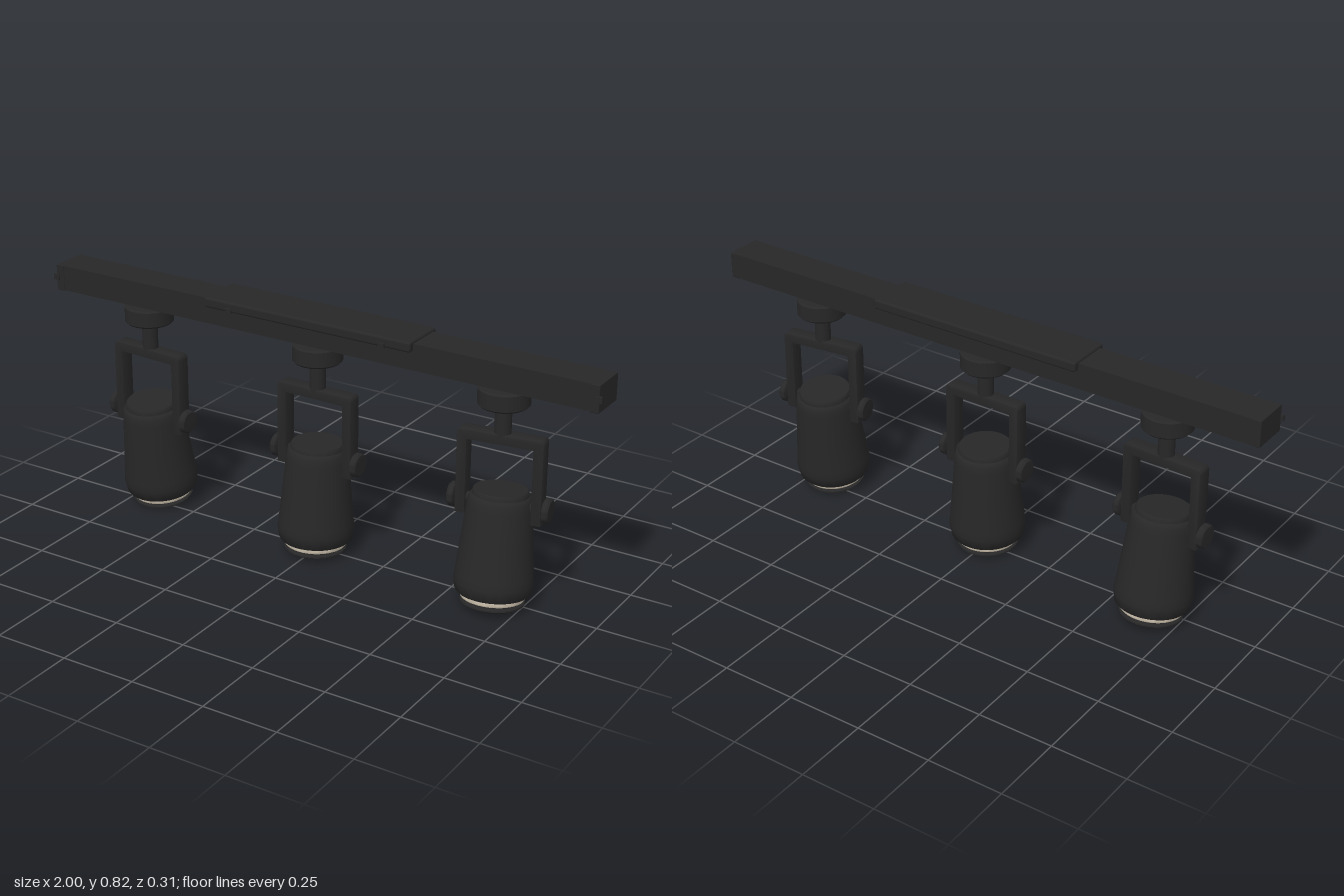
import * as THREE from 'three';
import { toCreasedNormals } from 'three/addons/utils/BufferGeometryUtils.js';
import { RoundedBoxGeometry } from 'three/addons/geometries/RoundedBoxGeometry.js';

const black = new THREE.MeshStandardMaterial({ name: 'black metal', color: 0x272727 });
const beige = new THREE.MeshStandardMaterial({ name: 'beige collar', color: 0xd0c4b0 });
const amber = new THREE.MeshStandardMaterial({ name: 'amber lens', color: 0xdcb68a });

function add(parent, name, geometry, material, x = 0, y = 0, z = 0) {
  const mesh = new THREE.Mesh(geometry, material);
  mesh.name = name;
  mesh.position.set(x, y, z);
  parent.add(mesh);
  return mesh;
}

// Turned part; the profile runs from the bottom up along the outside
function turned(points, segments = 48) {
  const lathe = new THREE.LatheGeometry(points.map(([r, y]) => new THREE.Vector2(r, y)), segments);
  return toCreasedNormals(lathe, 0.65);
}

// Ceiling rail with cover, contact strip and ends
function makeRail() {
  const rail = new THREE.Group();
  rail.name = 'rail';
  add(rail, 'railChannel', new THREE.BoxGeometry(1.95, 0.086, 0.122), black, 0, 0.773, 0.001);
  add(rail, 'contactStrip', new THREE.BoxGeometry(1.82, 0.012, 0.052), black, 0, 0.728, 0);
  add(rail, 'driverCover', new RoundedBoxGeometry(0.755, 0.034, 0.162, 3, 0.008), black, 0, 0.808, 0.001);
  for (const s of [-1, 1]) {
    add(rail, 'endCap', new RoundedBoxGeometry(0.03, 0.089, 0.125, 2, 0.003), black, s * 0.975, 0.7725, 0.002);
    add(rail, 'endTab', new THREE.BoxGeometry(0.022, 0.02, 0.008), black, s * 0.989, 0.773, 0.064);
    add(rail, 'coverClip', new THREE.BoxGeometry(0.02, 0.015, 0.01), black, s * 0.28, 0.798, 0.082);
  }
  return rail;
}

// U-shaped bracket with rounded upper corners
function yokeGeometry() {
  const w = 0.136, t = 0.028, top = 0.568, bottom = 0.293, r = 0.012;
  const s = new THREE.Shape();
  s.moveTo(-w, bottom);
  s.lineTo(-w + t, bottom);
  s.lineTo(-w + t, top - t);
  s.lineTo(w - t, top - t);
  s.lineTo(w - t, bottom);
  s.lineTo(w, bottom);
  s.lineTo(w, top - r);
  s.quadraticCurveTo(w, top, w - r, top);
  s.lineTo(-w + r, top);
  s.quadraticCurveTo(-w, top, -w, top - r);
  s.closePath();
  const geometry = new THREE.ExtrudeGeometry(s, {
    depth: 0.046, bevelThickness: 0.002, bevelSize: 0.002, bevelSegments: 2, curveSegments: 6,
  });
  geometry.translate(0, 0, -0.023);
  return toCreasedNormals(geometry, 0.6);
}

const yokeShape = yokeGeometry();
const mountShape = turned([
  [0, 0.662], [0.075, 0.662], [0.081, 0.668], [0.081, 0.717], [0.076, 0.722], [0.026, 0.722], [0.026, 0.735], [0, 0.735],
]);
const knobShape = turned([
  [0.016, 0.09], [0.016, 0.138], [0.03, 0.138], [0.039, 0.143], [0.039, 0.157], [0.034, 0.163], [0, 0.164],
], 32);
// Head profiles, measured from the tilt pivot
const bodyShape = turned([
  [0, -0.289], [0.114, -0.289], [0.119, -0.284], [0.125, -0.25], [0.122, -0.225],
  [0.111, -0.11], [0.102, -0.01], [0.099, 0.012], [0.094, 0.024], [0.088, 0.028],
  [0.087, 0.039], [0.083, 0.044], [0, 0.045],
]);
const collarShape = turned([[0.08, -0.308], [0.099, -0.308], [0.102, -0.304], [0.102, -0.286]]);
const rimShape = turned([
  [0.083, -0.316], [0.083, -0.327], [0.095, -0.327], [0.101, -0.323], [0.101, -0.318],
  [0.097, -0.315], [0.09, -0.315], [0.09, -0.307],
]);
const trimShape = turned([[0.076, -0.316], [0.076, -0.328], [0.084, -0.328], [0.084, -0.316]]);
const backingShape = turned([[0, -0.318], [0.084, -0.318]]);
const lensShape = turned([[0, -0.332], [0.06, -0.331], [0.071, -0.328], [0.071, -0.316]]);

// One spotlight: yaw turns it on its stem, tilt swings the head
function makeSpotlight(x, yaw, tilt) {
  const lamp = new THREE.Group();
  lamp.name = 'spotlight';
  lamp.position.x = x;
  lamp.rotation.y = yaw;
  add(lamp, 'ceilingMount', mountShape, black);
  add(lamp, 'stem', new THREE.CylinderGeometry(0.026, 0.026, 0.11, 32), black, 0, 0.615, 0);
  add(lamp, 'yoke', yokeShape, black);
  for (const s of [-1, 1]) {
    add(lamp, 'pivotKnob', knobShape, black, 0, 0.338, 0).rotation.z = -s * Math.PI / 2;
  }
  const head = new THREE.Group();
  head.name = 'lampHead';
  head.position.y = 0.338;
  head.rotation.x = -tilt;
  add(head, 'lampBody', bodyShape, black);
  add(head, 'collar', collarShape, beige);
  add(head, 'rim', rimShape, black);
  add(head, 'lensTrim', trimShape, beige);
  add(head, 'lensBacking', backingShape, black);
  add(head, 'lens', lensShape, amber);
  lamp.add(head);
  return lamp;
}

export function createModel() {
  const model = new THREE.Group();
  model.name = 'trackLight';
  model.add(makeRail());
  for (const [x, yaw, tilt] of [[-0.657, -0.06, -0.125], [0, -0.01, 0.04], [0.657, 0.14, 0.12]]) {
    model.add(makeSpotlight(x, yaw, tilt));
  }
  return model;
}
